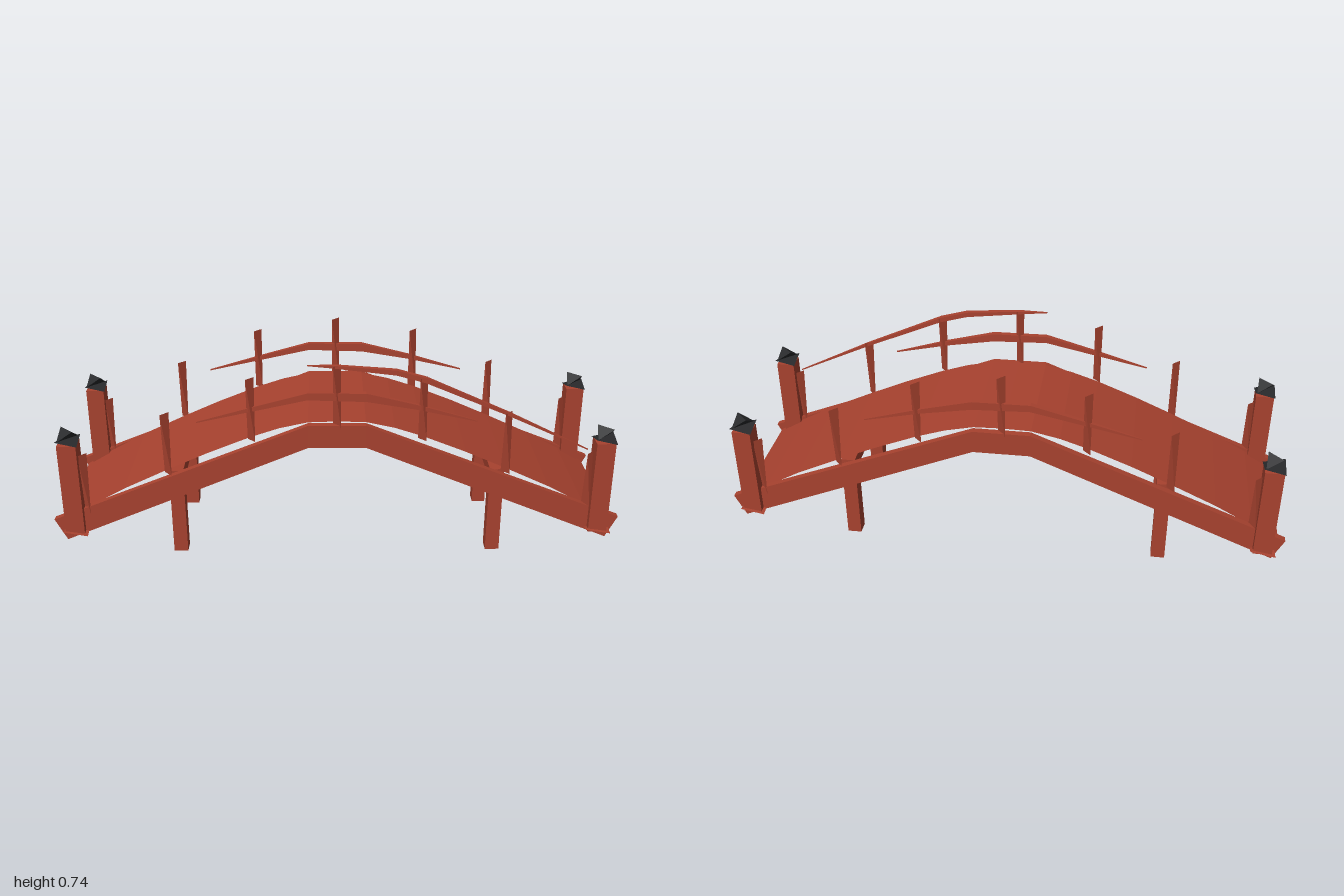
import * as THREE from 'three';

const paint = (name, color) => {
  const m = new THREE.MeshStandardMaterial({ color, side: THREE.DoubleSide, flatShading: true });
  m.name = name;
  return m;
};

// Flat-shaded geometry from points and faces
function faceted(points, faces) {
  const g = new THREE.BufferGeometry();
  g.setAttribute('position', new THREE.Float32BufferAttribute(faces.flat().flatMap(i => points[i]), 3));
  g.computeVertexNormals();
  return g;
}

// Wedge whose bottom edge and top edge lie on crossed diagonals; turn is +1 or -1
function wedge(bottom, top, h, turn = 1) {
  return faceted(
    [[-bottom, 0, -bottom * turn], [bottom, 0, bottom * turn], [top, h, -top * turn], [-top, h, top * turn]],
    [[0, 1, 2], [0, 3, 1], [0, 2, 3], [1, 3, 2]]);
}

// Bar running along x; each section is [xTop, yTop, xBottom, yBottom, halfDepth]
function bar(sections) {
  const pts = [], faces = [];
  for (const [xt, yt, xb, yb, d] of sections) pts.push([xt, yt, d], [xt, yt, -d], [xb, yb, -d], [xb, yb, d]);
  const n = sections.length;
  for (let s = 0; s < n - 1; s++) {
    for (let k = 0; k < 4; k++) {
      const a = s * 4 + k, b = s * 4 + (k + 1) % 4;
      faces.push([a, a + 4, b], [b, a + 4, b + 4]);
    }
  }
  const e = (n - 1) * 4;
  faces.push([0, 1, 2], [0, 2, 3], [e, e + 2, e + 1], [e, e + 3, e + 2]);
  return faceted(pts, faces);
}

export function createModel() {
  const group = new THREE.Group();
  const red = paint('red wood', 0xa8422f);
  const black = paint('black metal', 0x28292b);
  const add = (name, geo, mat, x = 0, y = 0, z = 0) => {
    const m = new THREE.Mesh(geo, mat);
    m.name = name;
    m.position.set(x, y, z);
    group.add(m);
    return m;
  };

  // Arched walkway, a thin sheet
  const half = [[0.1, 0.52], [0.2, 0.498], [0.3, 0.465], [0.45, 0.405], [0.59, 0.343], [0.75, 0.268], [0.88, 0.198], [0.98, 0.14]];
  const arch = [...half.map(([x, y]) => [-x, y]).reverse(), [0, 0.523], ...half];
  const deckPts = [], deckFaces = [];
  arch.forEach(([x, y], i) => {
    deckPts.push([x, y, 0.235], [x, y, -0.235]);
    if (i) deckFaces.push([2 * i - 2, 2 * i, 2 * i - 1], [2 * i - 1, 2 * i, 2 * i + 1]);
  });
  add('deck', faceted(deckPts, deckFaces), red);

  const beam = bar([
    [-1, 0.16, -0.96, 0.08, 0.012], [-0.1, 0.518, -0.1, 0.435, 0.012],
    [0.1, 0.518, 0.1, 0.435, 0.012], [1, 0.16, 0.96, 0.08, 0.012]]);
  const midRail = bar([
    [-0.48, 0.531, -0.48, 0.527, 0.002], [-0.28, 0.588, -0.28, 0.572, 0.007], [-0.1, 0.637, -0.1, 0.612, 0.01],
    [0.1, 0.635, 0.1, 0.605, 0.01], [0.28, 0.59, 0.28, 0.573, 0.007], [0.48, 0.531, 0.48, 0.527, 0.002]]);
  const topRail = bar([
    [-0.1, 0.735, -0.1, 0.732, 0.002], [0, 0.734, 0, 0.724, 0.008], [0.2, 0.718, 0.2, 0.7, 0.01],
    [0.3, 0.69, 0.3, 0.672, 0.01], [0.59, 0.56, 0.59, 0.548, 0.007], [0.87, 0.422, 0.87, 0.418, 0.002]]);
  const railPost = [[0, 0.505], [0.294, 0.46], [0.588, 0.333], [0.882, 0.18]];

  for (const side of [-1, 1]) {
    const z = side * 0.25;
    add('sideBeam', beam, red, 0, 0, z);
    add('middleRail', midRail, red, 0, 0, z);

    for (const end of [-1, 1]) {
      // Slender railing posts, the centre one added once
      for (const [x, y] of railPost) {
        if (x || end > 0) add('railPost', wedge(0.0135, 0.0135, 0.228), red, end * x, y, z);
      }
      // Corner pillar with foot and black cap
      const px = end * 0.925, pz = side * 0.2515;
      add('pillar', new THREE.BoxGeometry(0.066, 0.343, 0.066), red, px, 0.2835, pz);
      add('pillarFoot', wedge(0.045, 0.042, 0.014), red, px, 0.111, pz);
      add('capPlate', wedge(0.037, 0.037, 0.018), black, px, 0.4535, pz);
      add('capTop', wedge(0.031, 0.024, 0.036, -1), black, px, 0.469, pz);
      // Supporting leg
      add('leg', new THREE.BoxGeometry(0.05, 0.325, 0.05), red, end * 0.567, 0.1625, side * 0.186);
    }
  }
  add('topRail', topRail, red, 0, 0, 0.25);

  // Crossbars joining each pair of legs
  for (const end of [-1, 1]) {
    add('crossbar', new THREE.BoxGeometry(0.05, 0.045, 0.322), red, end * 0.567, 0.3025, 0);
  }
  return group;
}
